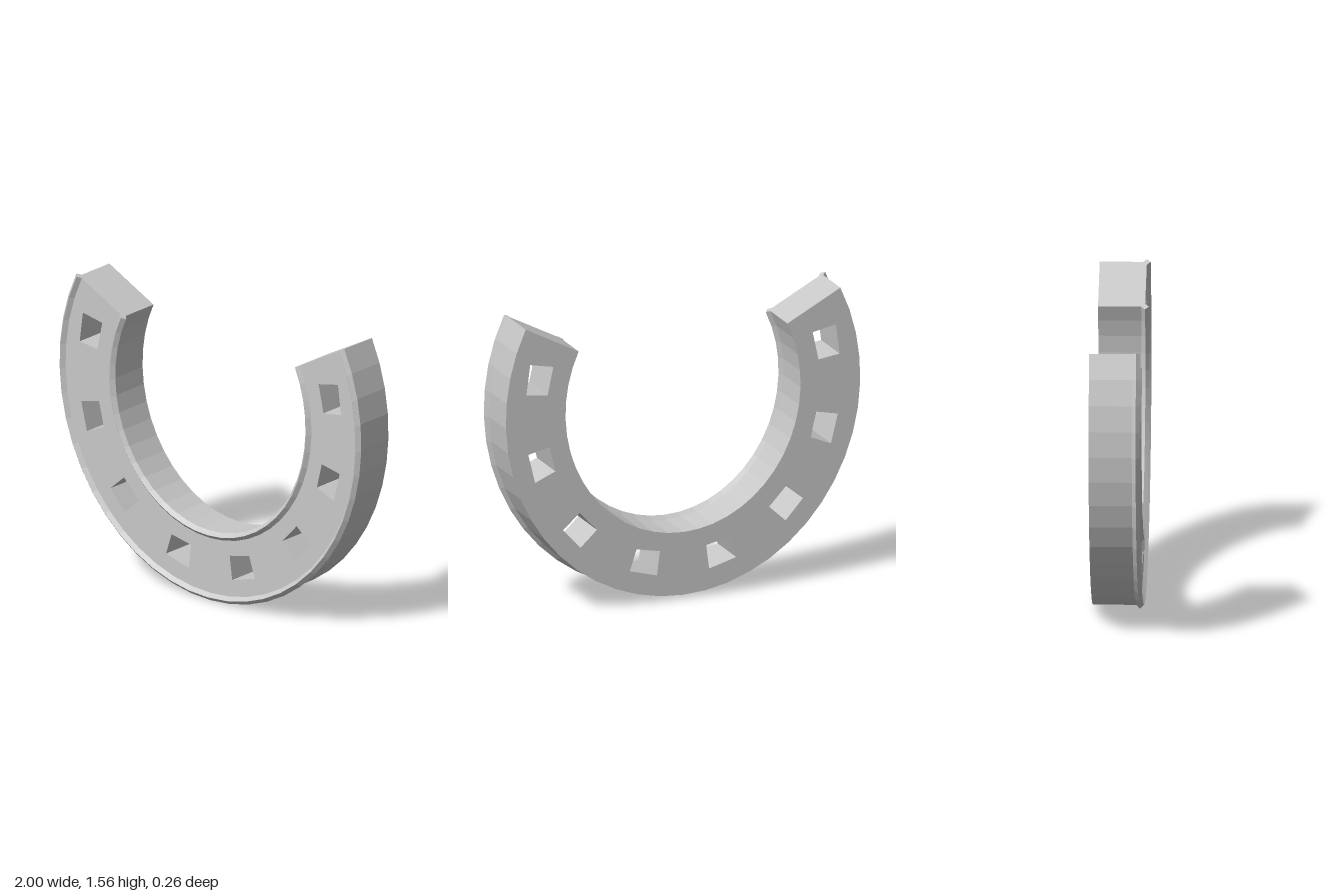
import * as THREE from 'three';

const CENTRE_Y = 1.07, TIP = THREE.MathUtils.degToRad(27.4), SEGMENTS = 32;
const BACK_Z = -0.13, FRONT_Z = 0.11, RIM = 0.02;
const OUTER = { a: 0.98, b: 1.05 }, INNER = { a: 0.65, b: 0.714 };

// Corners of the nail holes on the +x side; the other side mirrors them
const HOLES = [
  [[0.257, 0.297], [0.294, 0.184], [0.144, 0.142], [0.128, 0.27]],
  [[0.572, 0.532], [0.663, 0.452], [0.567, 0.345], [0.476, 0.43]],
  [[0.738, 0.906], [0.856, 0.88], [0.818, 0.725], [0.706, 0.773]],
  [[0.717, 1.334], [0.845, 1.36], [0.866, 1.2], [0.749, 1.184]],
];

// Angle along the open arc, from the -x tip round the bottom to the +x tip
const angleAt = (i) => -Math.PI - TIP + (i / SEGMENTS) * (Math.PI + 2 * TIP);

function arcPoints({ a, b }) {
  return Array.from({ length: SEGMENTS + 1 }, (_, i) => {
    const t = angleAt(i);
    return new THREE.Vector2(a * Math.cos(t), CENTRE_Y + b * Math.sin(t));
  });
}

// Flat horseshoe plate with the holes cut through
function plateGeometry() {
  const shape = new THREE.Shape([...arcPoints(OUTER), ...arcPoints(INNER).reverse()]);
  for (const corners of HOLES) {
    for (const side of [1, -1]) {
      shape.holes.push(new THREE.Path(corners.map(([x, y]) => new THREE.Vector2(side * x, y))));
    }
  }
  const geometry = new THREE.ExtrudeGeometry(shape, { depth: FRONT_Z - BACK_Z, bevelEnabled: false });
  return geometry.translate(0, 0, BACK_Z);
}

// Diamond section swept along one front edge, closed at both tips
function rimGeometry(ellipse) {
  const rings = arcPoints(ellipse).map((p, i) => {
    const t = angleAt(i);
    return [[RIM, 0], [0, RIM], [-RIM, 0], [0, -RIM]].map(([r, z]) =>
      [p.x + r * Math.cos(t), p.y + r * Math.sin(t), FRONT_Z + z]);
  });
  const positions = [];
  const quad = (a, b, c, d) => positions.push(...a, ...b, ...c, ...a, ...c, ...d);
  for (let i = 0; i < SEGMENTS; i++) {
    for (let k = 0; k < 4; k++) {
      const n = (k + 1) % 4;
      quad(rings[i][k], rings[i + 1][k], rings[i + 1][n], rings[i][n]);
    }
  }
  quad(...rings[0]);
  quad(...[...rings[SEGMENTS]].reverse());
  const geometry = new THREE.BufferGeometry();
  geometry.setAttribute('position', new THREE.Float32BufferAttribute(positions, 3));
  geometry.computeVertexNormals();
  return geometry;
}

export function createModel() {
  const steel = new THREE.MeshStandardMaterial({ color: 0xc8c8c8 });
  steel.name = 'steelGrey';

  const group = new THREE.Group();
  group.name = 'horseshoe';
  const add = (name, geometry) => {
    const mesh = new THREE.Mesh(geometry, steel);
    mesh.name = name;
    group.add(mesh);
  };
  add('plate', plateGeometry());
  add('outerRim', rimGeometry(OUTER));
  add('innerRim', rimGeometry(INNER));
  return group;
}
